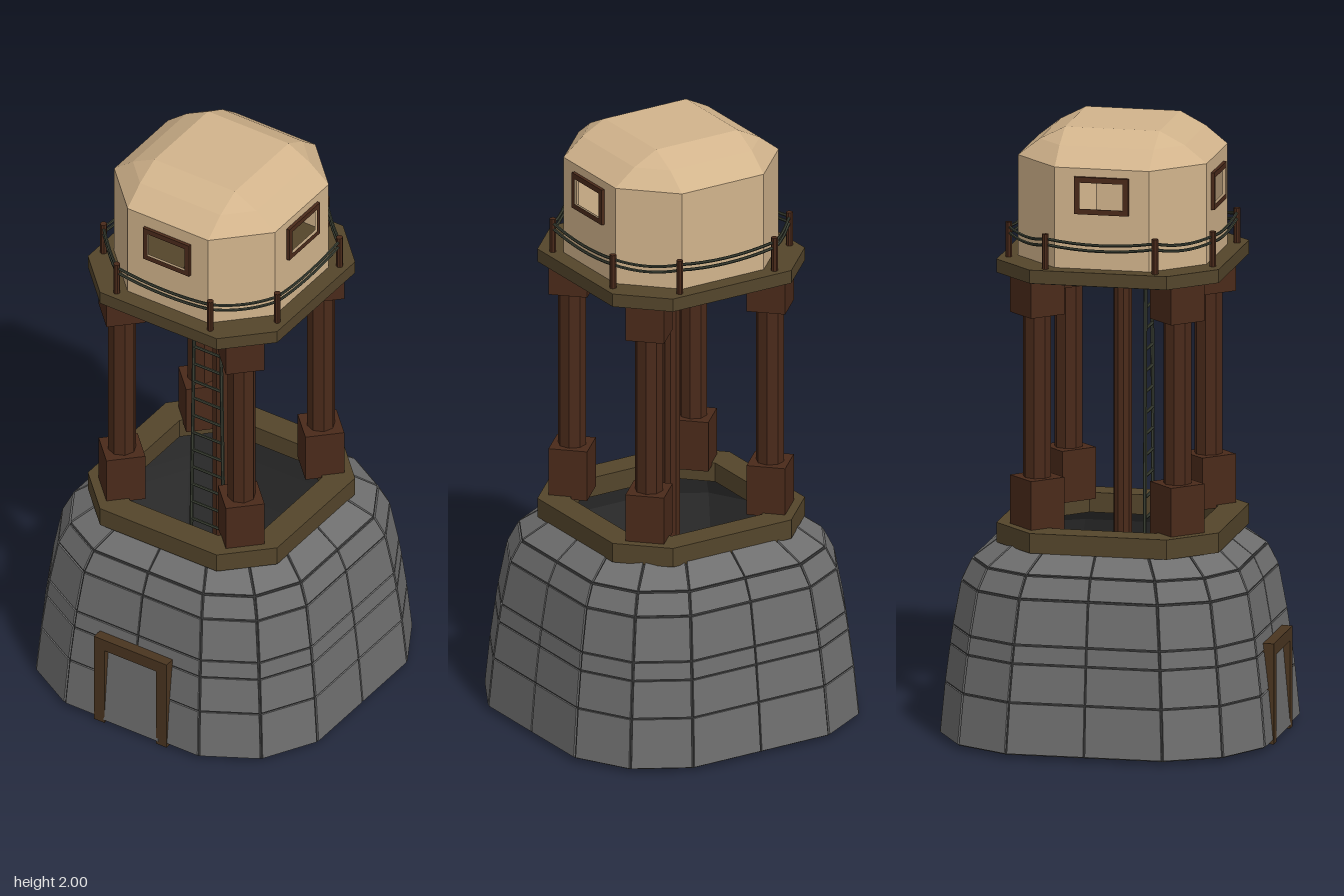
import * as THREE from 'three';
import { mergeGeometries } from 'three/addons/utils/BufferGeometryUtils.js';

const mat = (color, side = THREE.FrontSide) => new THREE.MeshStandardMaterial({ color, side, flatShading: true });
const STONE = mat(0x6e6e6e), MORTAR = mat(0x333333, THREE.DoubleSide), DECK = mat(0x54452b);
const TIMBER = mat(0x4a2a1a), TRIM = mat(0x4a3520), PLASTER = mat(0xd2b48c, THREE.DoubleSide);
const ROPE = mat(0x3b4034), FLOOR = mat(0x3c3c3c);
const V = (x, y, z) => new THREE.Vector3(x, y, z);

function add(parent, name, geometry, material, x = 0, y = 0, z = 0) {
  const m = new THREE.Mesh(geometry, material);
  m.name = name;
  m.position.set(x, y, z);
  parent.add(m);
  return m;
}

// Chamfered square outline as [x, z] pairs: half width h, flat side half length c
const octagon = (h, c) => [[-c, h], [c, h], [h, c], [h, -c], [c, -h], [-c, -h], [-h, -c], [-h, c]];

// Sixteen-point outline of the stone base, scaled to half width h
function baseOutline(h) {
  const quarter = [[0, 1], [0.485, 1], [0.815, 0.815], [1, 0.485]], pts = [];
  for (let q = 0; q < 4; q++) {
    for (let [x, z] of quarter) {
      for (let k = 0; k < q; k++) [x, z] = [z, -x];
      pts.push([x * h, z * h]);
    }
  }
  return pts;
}

function triangles(points) {
  const g = new THREE.BufferGeometry().setFromPoints(points);
  g.computeVertexNormals();
  return g;
}

// Skin through [y, outline] sections, closed at the bottom or the top
function loft(sections, capBottom, capTop) {
  const rings = sections.map(([y, o]) => o.map(([x, z]) => V(x, y, z)));
  const tris = [], n = rings[0].length, last = rings.length - 1;
  for (let i = 0; i < n; i++) {
    const k = (i + 1) % n;
    for (let j = 0; j < last; j++) {
      const [a, b, c, d] = [rings[j][i], rings[j][k], rings[j + 1][k], rings[j + 1][i]];
      tris.push(a, b, c, a, c, d);
    }
    if (capBottom) tris.push(V(0, sections[0][0], 0), rings[0][k], rings[0][i]);
    if (capTop) tris.push(V(0, sections[last][0], 0), rings[last][i], rings[last][k]);
  }
  return triangles(tris);
}

// One raised masonry block over the quad a, b, c, d
function stoneBlock(quad, gap, depth) {
  const mid = quad.reduce((s, p) => s.add(p), V(0, 0, 0)).multiplyScalar(0.25);
  const [a, b, , d] = quad;
  const u = b.clone().sub(a), v = d.clone().sub(a), n = u.clone().cross(v).normalize();
  u.normalize(); v.normalize();
  const inner = quad.map((p) => p.clone()
    .addScaledVector(u, -gap * Math.sign(p.clone().sub(mid).dot(u)))
    .addScaledVector(v, -gap * Math.sign(p.clone().sub(mid).dot(v))));
  const o = inner.map((p) => p.clone().addScaledVector(n, depth));
  const tris = [o[0], o[1], o[2], o[0], o[2], o[3]];
  for (let i = 0; i < 4; i++) {
    const k = (i + 1) % 4;
    tris.push(inner[i], inner[k], o[k], inner[i], o[k], o[i]);
  }
  return triangles(tris);
}

function octShape(h, c) {
  return new THREE.Shape(octagon(h, c).map(([x, z]) => new THREE.Vector2(x, -z)));
}
function rectPath(w, h, cx = 0, cy = 0) {
  const p = [[-w, -h], [-w, h], [w, h], [w, -h]];
  return new THREE.Path(p.map(([x, y]) => new THREE.Vector2(cx + x / 2, cy + y / 2)));
}
// Horizontal slab of a shape, rising from its own y = 0
const slab = (shape, t) => new THREE.ExtrudeGeometry(shape, { depth: t, bevelEnabled: false }).rotateX(-Math.PI / 2);

function buildBase(root) {
  const g = new THREE.Group();
  g.name = 'stoneBase';
  const profile = [[0.012, 0.535], [0.18, 0.52], [0.305, 0.505], [0.365, 0.497], [0.51, 0.472], [0.58, 0.44], [0.645, 0.355]];
  const depth = 0.006;
  const sections = profile.map(([y, h]) => [y, baseOutline(h - depth)]);
  add(g, 'mortarCore', loft(sections, true, false), MORTAR);
  const blocks = [];
  for (let j = 0; j < sections.length - 1; j++) {
    const [y0, lo] = sections[j], [y1, hi] = sections[j + 1];
    for (let i = 0; i < 16; i++) {
      const k = (i + 1) % 16;
      const quad = [V(lo[i][0], y0, lo[i][1]), V(lo[k][0], y0, lo[k][1]), V(hi[k][0], y1, hi[k][1]), V(hi[i][0], y1, hi[i][1])];
      blocks.push(stoneBlock(quad, 0.003, depth));
    }
  }
  add(g, 'stoneBlocks', mergeGeometries(blocks), STONE);
  root.add(g);

  // Door leaning with the wall, inside an upright frame
  const door = new THREE.Group();
  door.name = 'door';
  add(door, 'doorPanel', new THREE.BoxGeometry(0.21, 0.29, 0.02), STONE, 0, 0.155, 0.515).rotation.x = -0.09;
  for (const s of [-1, 1]) add(door, 'doorPost', new THREE.BoxGeometry(0.04, 0.3, 0.05), TRIM, s * 0.12 - 0.003, 0.15, 0.512);
  add(door, 'doorLintel', new THREE.BoxGeometry(0.28, 0.042, 0.05), TRIM, -0.003, 0.309, 0.512);
  root.add(door);
}

function buildSupports(root) {
  const ring = octShape(0.365, 0.225);
  ring.holes.push(new THREE.Path(octagon(0.275, 0.17).map(([x, z]) => new THREE.Vector2(x, z))));
  add(root, 'lowerRing', slab(ring, 0.065), DECK, 0, 0.64, 0);

  // Four corner columns with square feet and heads
  for (const sx of [-1, 1]) for (const sz of [-1, 1]) {
    const c = new THREE.Group();
    c.name = 'column';
    c.position.set(sx * 0.23, 0, sz * 0.23);
    c.rotation.y = Math.PI / 4;
    add(c, 'shaft', new THREE.CylinderGeometry(0.046, 0.046, 0.82, 8), TIMBER, 0, 1.115, 0);
    add(c, 'foot', new THREE.BoxGeometry(0.127, 0.17, 0.127), TIMBER, 0, 0.78, 0);
    add(c, 'head', new THREE.BoxGeometry(0.127, 0.125, 0.127), TIMBER, 0, 1.4625, 0);
    root.add(c);
  }
  add(root, 'centrePole', new THREE.CylinderGeometry(0.03, 0.03, 1.51, 10), TIMBER, 0, 0.77, 0);

  // Ladder narrowing towards the hatch
  const ladder = new THREE.Group();
  ladder.name = 'ladder';
  const halfWidth = (y) => 0.07 - 0.014 * y;
  for (const s of [-1, 1]) {
    const path = new THREE.LineCurve3(V(s * halfWidth(0.02), 0.02, 0.085), V(s * halfWidth(1.56), 1.56, 0.085));
    add(ladder, 'ladderRail', new THREE.TubeGeometry(path, 1, 0.006, 6), ROPE, 0.003);
  }
  for (let y = 0.08; y < 1.53; y += 0.069) {
    add(ladder, 'rung', new THREE.CylinderGeometry(0.005, 0.005, 2 * halfWidth(y), 6).rotateZ(Math.PI / 2), ROPE, 0.003, y, 0.085);
  }
  root.add(ladder);
}

function buildPlatform(root) {
  const deck = octShape(0.365, 0.225), under = octShape(0.355, 0.219);
  for (const s of [deck, under]) s.holes.push(rectPath(0.15, 0.1, 0, -0.09));
  add(root, 'platform', slab(deck, 0.044), DECK, 0, 1.526, 0);
  add(root, 'platformUnderside', slab(under, 0.004), FLOOR, 0, 1.523, 0);

  // Railing posts joined by two sagging ropes
  const railing = new THREE.Group();
  railing.name = 'railing';
  const posts = octagon(0.335, 0.18);
  posts.forEach(([x, z], i) => {
    add(railing, 'railingPost', new THREE.CylinderGeometry(0.011, 0.011, 0.115, 8), TIMBER, x, 1.627, z);
    const [x2, z2] = posts[(i + 1) % 8];
    for (const y of [1.669, 1.65]) {
      const curve = new THREE.QuadraticBezierCurve3(V(x, y, z), V((x + x2) / 2, y - 0.03, (z + z2) / 2), V(x2, y, z2));
      add(railing, 'rope', new THREE.TubeGeometry(curve, 8, 0.005, 6), ROPE);
    }
  });
  root.add(railing);
}

function buildCabin(root) {
  const cabin = new THREE.Group();
  cabin.name = 'cabin';
  const h = 0.31, c = 0.155, y0 = 1.57, y1 = 1.9;
  const outline = octagon(h, c);
  outline.forEach(([x, z], i) => {
    const [x2, z2] = outline[(i + 1) % 8];
    const side = new THREE.Group();
    side.name = 'wallSide';
    side.position.set((x + x2) / 2, 0, (z + z2) / 2);
    side.rotation.y = i * Math.PI / 4;
    const w = Math.hypot(x2 - x, z2 - z);
    const wall = new THREE.Shape(rectPath(w, y1 - y0, 0, (y0 + y1) / 2).getPoints());
    // Windows on the front and both flanks; the back wall is blank
    if (i === 0 || i === 2 || i === 6) {
      const cy = i === 0 ? 1.795 : 1.812;
      wall.holes.push(rectPath(0.15, 0.09, 0, cy));
      const frame = new THREE.Shape(rectPath(0.178, 0.122, 0, cy).getPoints());
      frame.holes.push(rectPath(0.142, 0.086, 0, cy));
      add(side, 'windowFrame', new THREE.ExtrudeGeometry(frame, { depth: 0.02, bevelEnabled: false }), TIMBER, 0, 0, -0.009);
    }
    add(side, 'wall', new THREE.ShapeGeometry(wall), PLASTER);
    cabin.add(side);
  });
  const roof = [[y1, outline], [1.957, octagon(0.238, c)], [2, octagon(c, c)]];
  add(cabin, 'roof', loft(roof, false, true), PLASTER);
  root.add(cabin);
}

export function createModel() {
  const model = new THREE.Group();
  model.name = 'watchtower';
  buildBase(model);
  const tower = new THREE.Group();
  tower.name = 'tower';
  tower.position.set(-0.003, 0, 0.01);
  buildSupports(tower);
  buildPlatform(tower);
  buildCabin(tower);
  model.add(tower);
  return model;
}
